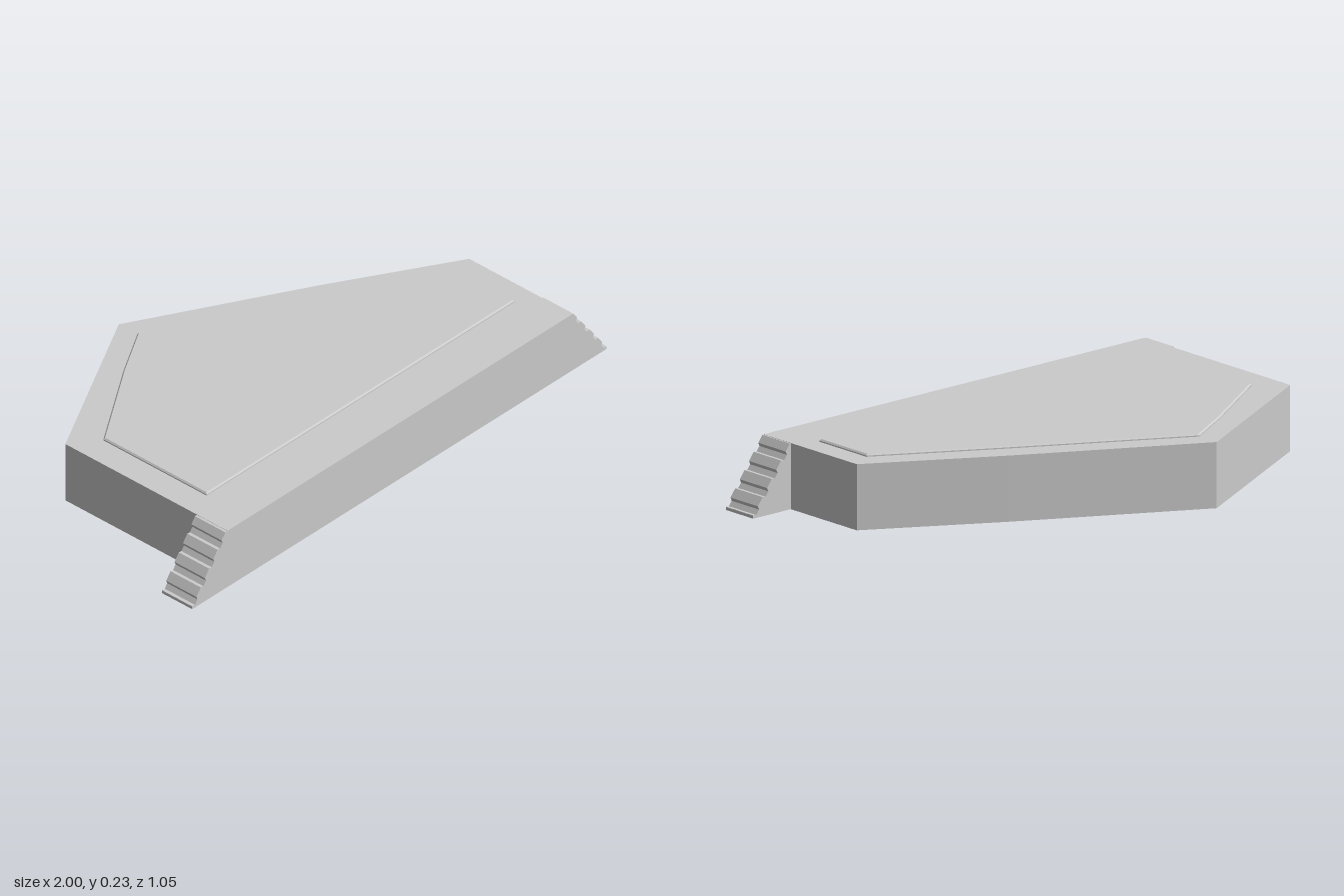
import * as THREE from 'three';

const material = new THREE.MeshStandardMaterial({ color: 0xcccccc, flatShading: true });

function toShape(points) {
  return new THREE.Shape(points.map(([x, y]) => new THREE.Vector2(x, y)));
}

// Slab with a plan outline given as [x, z], rising from y0 to y1
function slab(name, outline, y0, y1, bevel = 0) {
  const geometry = new THREE.ExtrudeGeometry(toShape(outline.map(([x, z]) => [x, -z])), {
    depth: y1 - y0 - bevel, bevelEnabled: bevel > 0, bevelThickness: bevel,
    bevelSize: bevel, bevelOffset: -bevel, bevelSegments: 1,
  });
  geometry.rotateX(-Math.PI / 2).translate(0, y0, 0);
  const mesh = new THREE.Mesh(geometry, material);
  mesh.name = name;
  return mesh;
}

// Sloping end wedge with four shallow grooves across its face
function gripWedge(name, side, inner) {
  const top = [0.84, 0.225], foot = [1, 0.01];
  const dx = foot[0] - top[0], dy = foot[1] - top[1];
  const length = Math.hypot(dx, dy);
  const along = (t, depth) => [
    top[0] + dx * t + (dy / length) * depth,
    top[1] + dy * t - (dx / length) * depth,
  ];
  const points = [[inner, 0], [inner, 0.225], top];
  for (let i = 0; i < 4; i++) {
    const t = 0.11 + i * 0.253;
    points.push(along(t, 0), along(t + 0.025, 0.011), along(t + 0.1, 0.011), along(t + 0.125, 0));
  }
  points.push(foot, [1, 0]);
  const geometry = new THREE.ExtrudeGeometry(toShape(points.map(([x, y]) => [side * x, y])), {
    depth: 0.135, bevelEnabled: false,
  });
  geometry.translate(0, 0, 0.39);
  const mesh = new THREE.Mesh(geometry, material);
  mesh.name = name;
  return mesh;
}

export function createModel() {
  const model = new THREE.Group();
  model.name = 'wedgePlate';

  // Main body, with a slightly bowed long rear edge
  model.add(slab('body', [
    [-0.83, 0.525], [0.835, 0.525], [0.835, 0.065], [0.4, -0.19],
    [0.2, -0.3], [-0.215, -0.527], [-0.83, -0.197],
  ], 0, 0.226));

  // Thin raised panel following the body outline
  model.add(slab('topPanel', [
    [-0.73, 0.34], [0.755, 0.34], [0.755, 0.107], [0.38, -0.11],
    [-0.215, -0.443], [-0.4, -0.335], [-0.73, -0.12],
  ], 0.22, 0.235, 0.005));

  model.add(gripWedge('leftGrip', 1, 0.835), gripWedge('rightGrip', -1, 0.83));
  return model;
}
